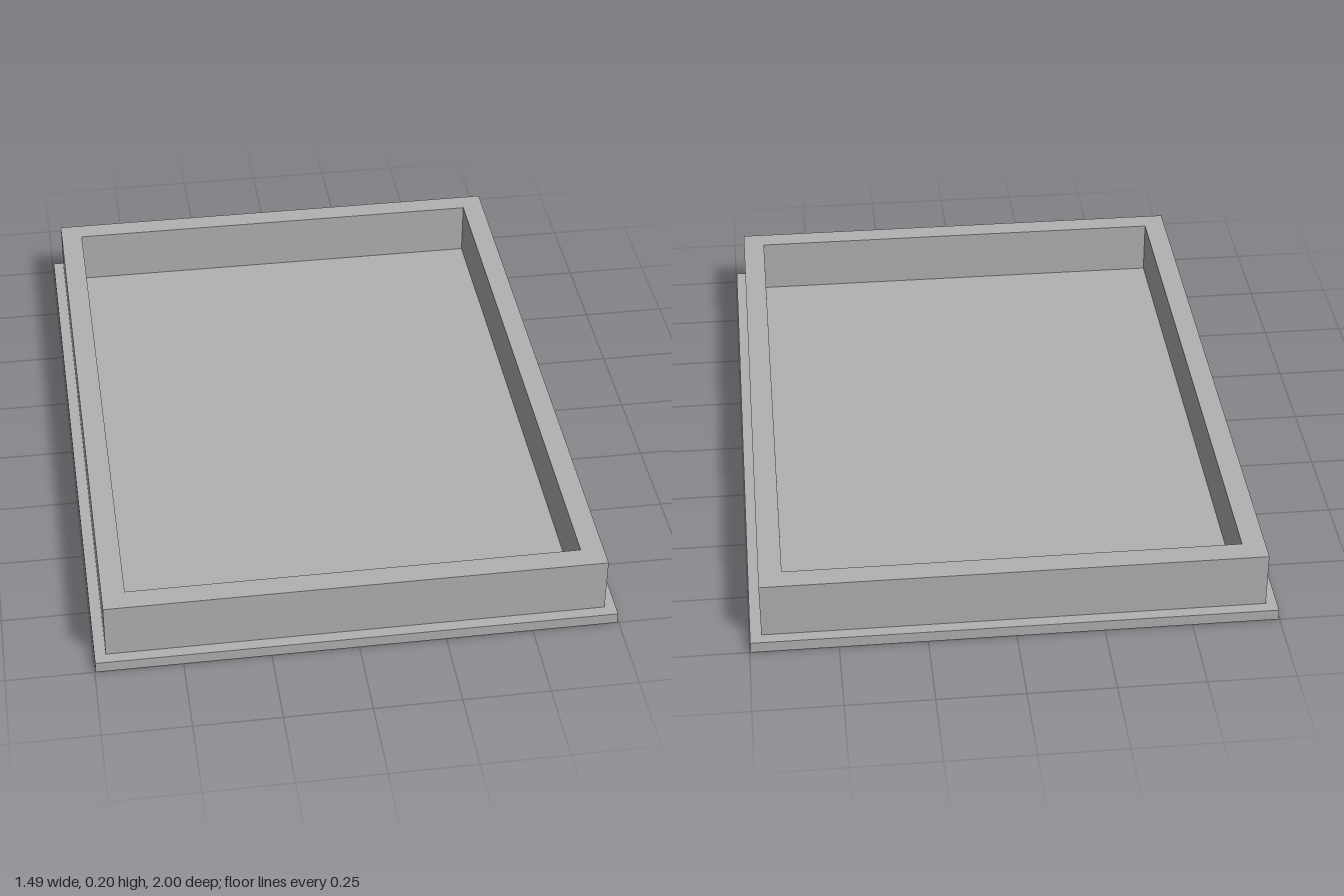
import * as THREE from 'three';

const BASE_HEIGHT = 0.033;
const TOTAL_HEIGHT = 0.2;

// Rectangle outline centred on the origin, given its half sizes
function rectangle(PathType, hx, hz) {
  return new PathType([
    new THREE.Vector2(-hx, -hz),
    new THREE.Vector2(hx, -hz),
    new THREE.Vector2(hx, hz),
    new THREE.Vector2(-hx, hz),
  ]);
}

export function createModel() {
  const group = new THREE.Group();
  group.name = 'tray';

  const grey = new THREE.MeshStandardMaterial({ color: 0xb2b2b2 });
  grey.name = 'grey';

  // Base plate, projecting slightly beyond the walls
  const base = new THREE.Mesh(new THREE.BoxGeometry(1.494, BASE_HEIGHT, 2), grey);
  base.name = 'basePlate';
  base.position.y = BASE_HEIGHT / 2;
  group.add(base);

  // Rectangular rim of walls around the open floor
  const outline = rectangle(THREE.Shape, 0.715, 0.966);
  outline.holes.push(rectangle(THREE.Path, 0.649, 0.9));
  const rimGeometry = new THREE.ExtrudeGeometry(outline, {
    depth: TOTAL_HEIGHT - BASE_HEIGHT,
    bevelEnabled: false,
  });
  rimGeometry.rotateX(-Math.PI / 2);
  const rim = new THREE.Mesh(rimGeometry, grey);
  rim.name = 'rimWalls';
  rim.position.y = BASE_HEIGHT;
  group.add(rim);

  return group;
}
